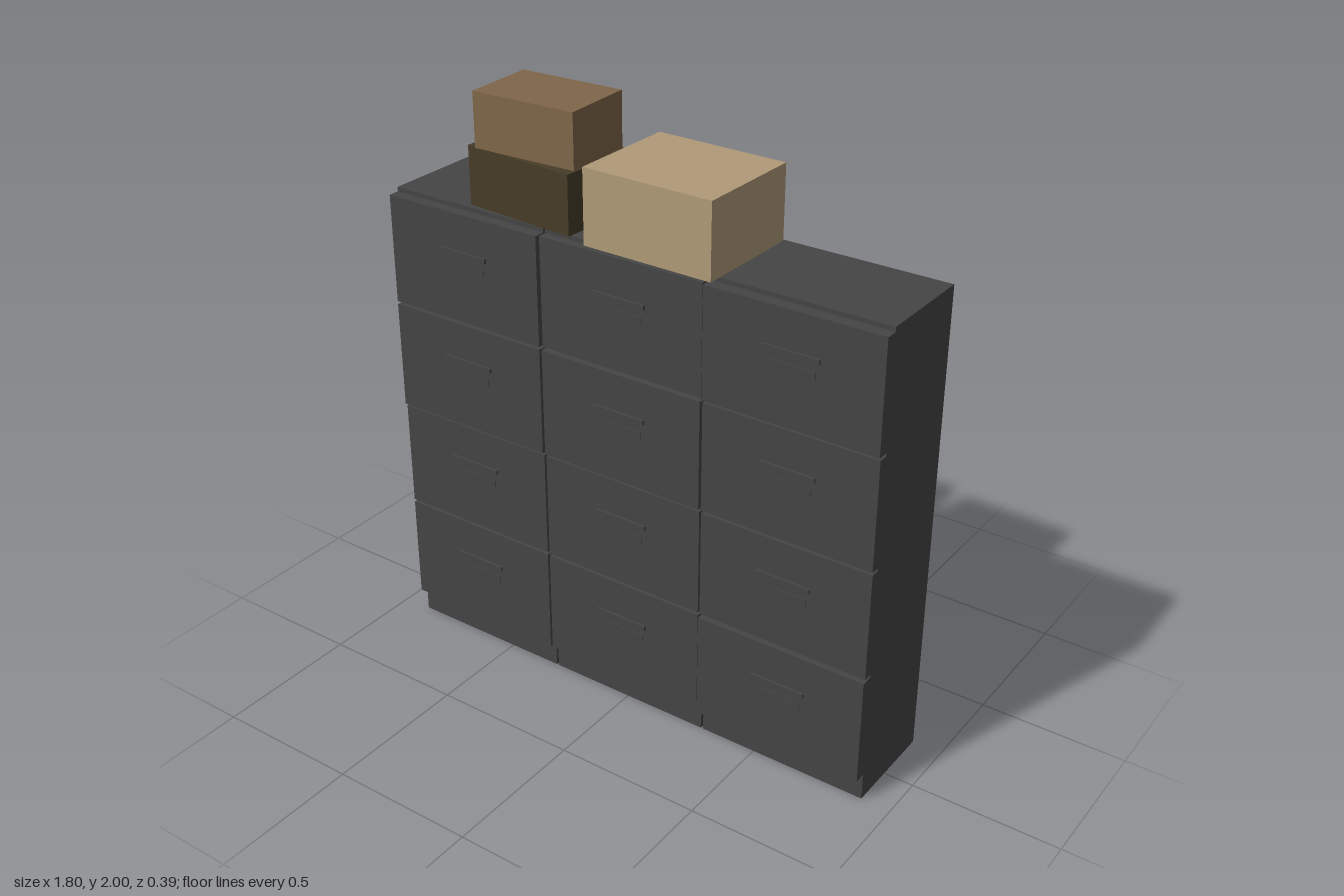
import * as THREE from 'three';

export function createModel() {
  const model = new THREE.Group();
  const material = (name, color) => {
    const m = new THREE.MeshStandardMaterial({ color });
    m.name = name;
    return m;
  };
  const steel = material('charcoal steel', 0x454545);
  const tan = material('tan cardboard', 0xb09a78);
  const brown = material('brown cardboard', 0x80664a);
  const olive = material('dark olive cardboard', 0x463c28);

  // Box given by its width, vertical range and depth range
  function slab(name, mat, w, y0, y1, z0, z1, parent) {
    const mesh = new THREE.Mesh(new THREE.BoxGeometry(w, y1 - y0, z1 - z0), mat);
    mesh.position.set(0, (y0 + y1) / 2, (z0 + z1) / 2);
    mesh.name = name;
    parent.add(mesh);
    return mesh;
  }

  // Front plane of each drawer, bottom row first; some are left slightly open
  const drawerFronts = [
    [0.178, 0.178, 0.186, 0.186],
    [0.178, 0.178, 0.184, 0.178],
    [0.188, 0.180, 0.182, 0.188],
  ];

  // Three cabinets side by side, four drawers each
  drawerFronts.forEach((fronts, i) => {
    const cabinet = new THREE.Group();
    cabinet.name = 'cabinet' + (i + 1);
    cabinet.position.x = (i - 1) * 0.602;
    slab('cabinetBody', steel, 0.594, 0, 1.625, -0.194, 0.148, cabinet);
    fronts.forEach((z, row) => {
      const y = 0.095 + row * 0.3813;
      const drawer = new THREE.Group();
      drawer.name = 'drawer';
      slab('drawerFront', steel, 0.594, y, y + 0.371, 0.148, z, drawer);
      // Label holder below an overhanging pull
      slab('labelHolder', steel, 0.165, y + 0.178, y + 0.204, z, z + 0.003, drawer);
      slab('drawerPull', steel, 0.19, y + 0.231, y + 0.247, z, z + 0.008, drawer);
      cabinet.add(drawer);
    });
    model.add(cabinet);
  });

  // Storage boxes set slightly askew on top
  function carton(name, mat, w, d, y0, y1, x, z, turn) {
    const mesh = slab(name, mat, w, y0, y1, -d / 2, d / 2, model);
    mesh.position.x = x;
    mesh.position.z = z;
    mesh.rotation.y = turn;
  }
  carton('largeBox', tan, 0.455, 0.38, 1.625, 1.87, 0.11, 0, -0.015);
  carton('lowerBox', olive, 0.41, 0.287, 1.625, 1.82, -0.392, 0, -0.075);
  carton('upperBox', brown, 0.37, 0.255, 1.82, 2.0, -0.391, 0.002, 0.038);

  return model;
}
